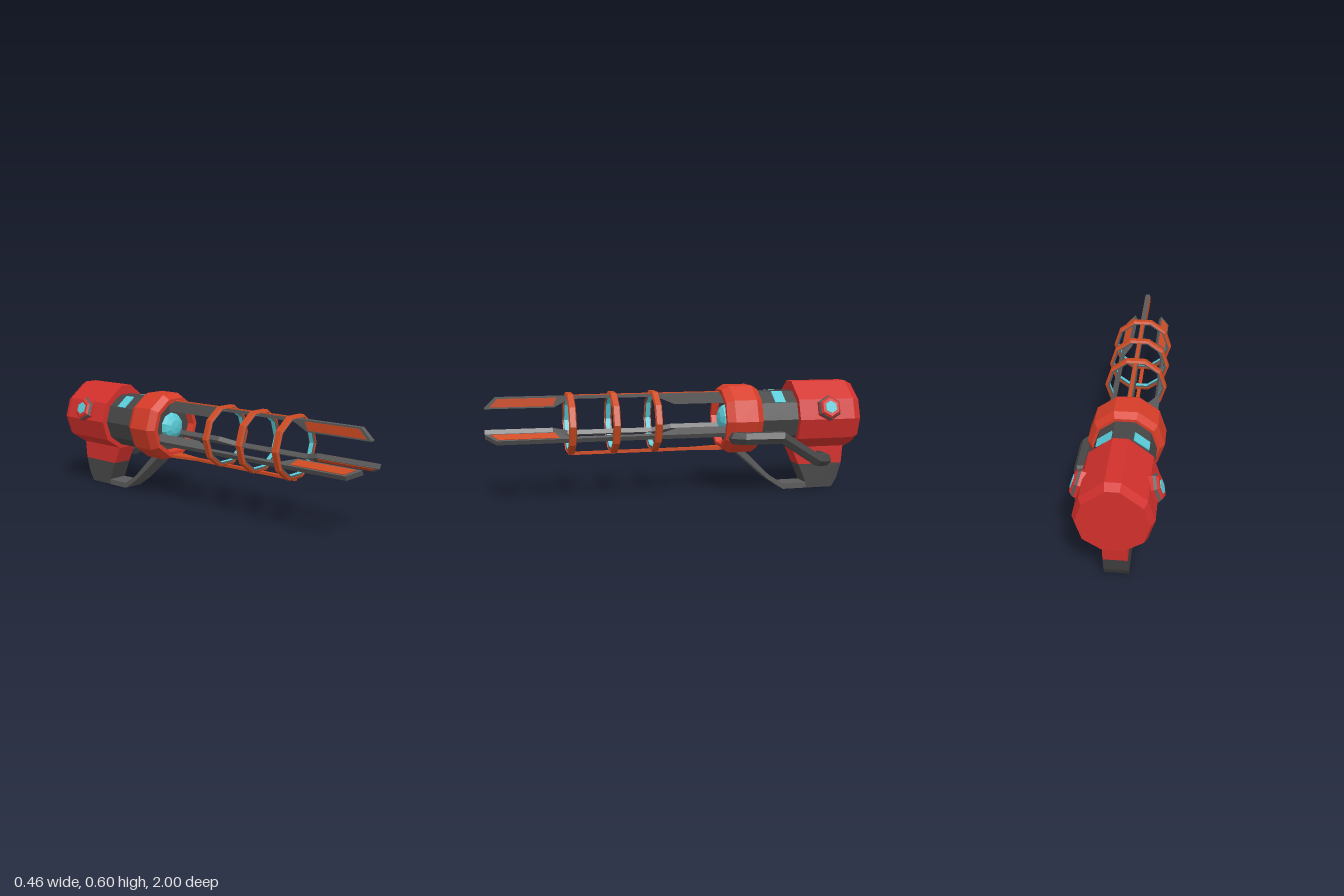
import * as THREE from 'three';

const AX = -0.015, AY = 0.4; // barrel axis

const paint = (color) => new THREE.MeshStandardMaterial({ color, flatShading: true, side: THREE.DoubleSide });
const RED = paint(0xd2302c), COLLAR = paint(0xd63c28), ORANGE = paint(0xcc4a22);
const DARK = paint(0x464646), GREY = paint(0x5a5a5a), CYAN = paint(0x58ccd8);

function add(parent, name, geometry, material) {
  const mesh = new THREE.Mesh(geometry, material);
  mesh.name = name;
  parent.add(mesh);
  return mesh;
}

// Ten-sided turned part around z; profile is [radius, z] with z rising on the outside.
function decagon(profile) {
  const pts = profile.map(([r, z]) => new THREE.Vector2(r, z));
  return new THREE.LatheGeometry(pts, 10, Math.PI / 10).rotateX(Math.PI / 2);
}

// Side profile in [z, y], extruded evenly across x.
function slab(points, width) {
  const shape = new THREE.Shape(points.map(([z, y]) => new THREE.Vector2(z, y)));
  return new THREE.ExtrudeGeometry(shape, { depth: width, bevelEnabled: false })
    .translate(0, 0, -width / 2).rotateY(-Math.PI / 2);
}

// Straight-segment path, with one tube ring at each corner.
class Polyline extends THREE.Curve {
  constructor(points) {
    super();
    this.pts = points.map((p) => new THREE.Vector3(...p));
  }
  index(u) { return Math.round(u * (this.pts.length - 1)); }
  getPointAt(u) { return this.pts[this.index(u)].clone(); }
  getTangentAt(u) {
    const i = this.index(u), p = this.pts, t = new THREE.Vector3();
    if (i > 0) t.add(p[i].clone().sub(p[i - 1]).normalize());
    if (i < p.length - 1) t.add(p[i + 1].clone().sub(p[i]).normalize());
    return t.normalize();
  }
}

// Rear drum: decagon with a narrow raised crown, chamfered at the back.
function drumGeometry() {
  const half = [[0.036, 0.197], [0.15, 0.107], [0.183, 0], [0.15, -0.107], [0.057, -0.167]];
  const section = [...half, ...half.map(([x, y]) => [-x, y]).reverse()];
  const stations = [[-0.645, 0], [-0.645, 1], [-0.96, 1], [-1, 0.9], [-1, 0]];
  const pos = [], idx = [], n = section.length;
  for (const [z, s] of stations) for (const [x, y] of section) pos.push(x * s, y * s, z);
  for (let k = 0; k < stations.length - 1; k++) {
    for (let i = 0; i < n; i++) {
      const a = k * n + i, b = k * n + (i + 1) % n;
      idx.push(a, b, a + n, b, b + n, a + n);
    }
  }
  const g = new THREE.BufferGeometry();
  g.setAttribute('position', new THREE.Float32BufferAttribute(pos, 3));
  g.setIndex(idx);
  g.computeVertexNormals();
  return g;
}

export function createModel() {
  const model = new THREE.Group();
  const barrel = new THREE.Group();
  barrel.name = 'barrel';
  barrel.position.set(AX, AY, 0);
  model.add(barrel);

  // Main housing
  add(barrel, 'rearDrum', drumGeometry(), RED);
  add(barrel, 'midBody', decagon([[0, -0.66], [0.153, -0.66], [0.153, -0.42], [0, -0.42]]), DARK);
  add(barrel, 'frontCollar', decagon([[0, -0.44], [0.168, -0.44], [0.19, -0.405], [0.19, -0.28],
    [0.166, -0.24], [0.142, -0.24], [0.134, -0.28], [0, -0.28]]), COLLAR);
  add(barrel, 'emitterPlate', decagon([[0.134, -0.285], [0.134, -0.276], [0, -0.276]]), DARK);

  // Faceted lens in the muzzle
  const lens = add(barrel, 'emitterLens',
    new THREE.SphereGeometry(0.078, 10, 3, Math.PI / 10, Math.PI * 2, 0, Math.PI / 2).rotateX(Math.PI / 2), CYAN);
  lens.scale.z = 0.55;
  lens.position.z = -0.277;

  for (const side of [1, -1]) {
    // Windows on the upper facets of the mid body
    const windowPivot = new THREE.Group();
    windowPivot.name = 'window';
    windowPivot.rotation.z = side * -THREE.MathUtils.degToRad(37);
    add(windowPivot, 'windowGlass', new THREE.BoxGeometry(0.088, 0.012, 0.06).translate(0, 0.145, -0.55), CYAN);
    barrel.add(windowPivot);

    // Hexagonal side lamps on the drum
    const lamp = new THREE.Group();
    lamp.name = 'sideLamp';
    lamp.rotation.z = side * -THREE.MathUtils.degToRad(71);
    lamp.position.z = -0.81;
    const hex = (top, bottom, h, y) => new THREE.CylinderGeometry(top, bottom, h, 6, 1, false, Math.PI / 6 * 3)
      .translate(0, y, 0);
    add(lamp, 'lampBase', hex(0.07, 0.07, 0.035, 0.172), RED);
    add(lamp, 'lampBand', hex(0.062, 0.07, 0.013, 0.196), GREY);
    add(lamp, 'lampRim', hex(0.05, 0.062, 0.01, 0.207), RED);
    add(lamp, 'lampGlass', hex(0.034, 0.036, 0.01, 0.21), CYAN);
    barrel.add(lamp);
  }

  // Guide rings with glowing inner bands
  for (const z of [0.125, 0.345, 0.57]) {
    const ring = new THREE.Group();
    ring.name = 'guideRing';
    ring.position.z = z;
    add(ring, 'ringShell', decagon([[0.153, -0.02], [0.166, -0.014], [0.166, 0.014], [0.153, 0.02], [0.153, -0.02]]), ORANGE);
    add(ring, 'ringLiner', decagon([[0.143, -0.014], [0.154, -0.014], [0.154, 0.014], [0.143, 0.014], [0.143, -0.014]]), GREY);
    add(ring, 'ringGlow', decagon([[0.142, 0.012], [0.142, -0.012]]), CYAN);
    barrel.add(ring);
  }

  // Three prongs, bladed at both ends
  for (let i = 0; i < 3; i++) {
    const prong = new THREE.Group();
    prong.name = 'prong';
    prong.rotation.z = i * Math.PI * 2 / 3;
    add(prong, 'prongBar', slab([[-0.28, 0.145], [0.945, 0.145], [1, 0.092], [1, 0.086], [0.65, 0.086],
      [0.57, 0.128], [0.11, 0.128], [0.01, 0.086], [-0.28, 0.086]], 0.026), GREY);
    add(prong, 'prongPanel', slab([[0.635, 0.137], [0.935, 0.137], [0.975, 0.094], [0.655, 0.094]], 0.031), ORANGE);
    barrel.add(prong);
  }
  add(barrel, 'topStrip', new THREE.BoxGeometry(0.018, 0.006, 0.82).translate(0, 0.146, 0.16), ORANGE);

  // Bottom brace, flaring into the collar
  const brace = new THREE.Shape([[-0.04, 0.26], [0.04, 0.26], [0.034, 0.2], [0.01, 0.08], [0.01, -0.58],
    [-0.01, -0.58], [-0.01, 0.08], [-0.034, 0.2]].map(([x, y]) => new THREE.Vector2(x, y)));
  add(barrel, 'bottomBrace', new THREE.ExtrudeGeometry(brace, { depth: 0.015, bevelEnabled: false })
    .rotateX(-Math.PI / 2).translate(0, -0.167, 0), ORANGE);

  // Grip and guard
  const grip = new THREE.Group();
  grip.name = 'grip';
  grip.position.x = -0.0175;
  model.add(grip);
  add(grip, 'gripTop', slab([[-0.645, 0.26], [-0.645, 0.235], [-0.69, 0.135], [-0.945, 0.135], [-0.955, 0.26]], 0.115), RED);
  add(grip, 'gripBase', slab([[-0.69, 0.135], [-0.735, 0.03], [-0.735, 0], [-0.89, 0], [-0.92, 0.05], [-0.945, 0.135]], 0.115), DARK);
  add(grip, 'guard', slab([[-0.31, 0.235], [-0.36, 0.235], [-0.515, 0.085], [-0.6, 0.03], [-0.74, 0.03],
    [-0.74, 0], [-0.6, 0], [-0.51, 0.06]], 0.115), GREY);

  // Side hose from collar to grip
  const hose = new Polyline([[0.1, 0.315, -0.285], [0.16, 0.315, -0.285], [0.192, 0.315, -0.33], [0.192, 0.315, -0.53],
    [0.155, 0.178, -0.75], [0.135, 0.175, -0.805], [0.02, 0.175, -0.81]]);
  add(model, 'sideHose', new THREE.TubeGeometry(hose, 6, 0.036, 6), DARK);

  return model;
}
